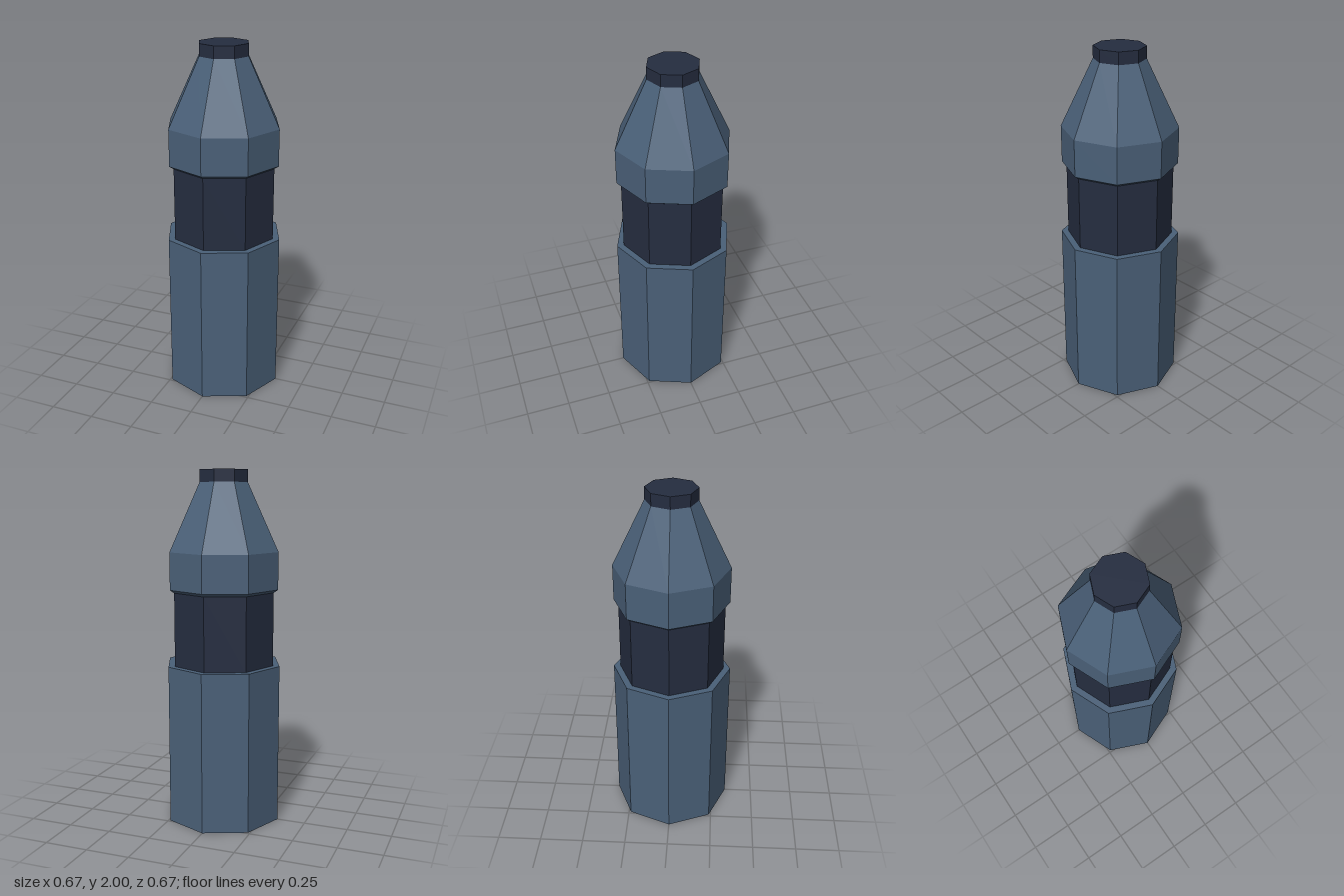
import * as THREE from 'three';

const SIDES = 8;
const blue = new THREE.MeshStandardMaterial({ color: 0x4a6078, flatShading: true });
const dark = new THREE.MeshStandardMaterial({ color: 0x252d40, flatShading: true });

// Eight-sided turned part from [radius, height] pairs, listed bottom to top
function turned(name, profile, material) {
  const points = profile.map(([r, y]) => new THREE.Vector2(r, y));
  const mesh = new THREE.Mesh(new THREE.LatheGeometry(points, SIDES), material);
  mesh.name = name;
  return mesh;
}

export function createModel() {
  const model = new THREE.Group();
  model.name = 'bottle';

  // Lower barrel with closed base and a narrow ledge at the top
  model.add(turned('barrel', [[0, 0], [0.337, 0], [0.337, 0.915], [0.298, 0.915]], blue));

  // Recessed dark band
  model.add(turned('gripBand', [[0.298, 0.915], [0.298, 1.33]], dark));

  // Shoulder: bevelled lip, straight collar, then taper
  model.add(turned('taperedCap', [[0.298, 1.33], [0.323, 1.347], [0.323, 1.555], [0.142, 1.932]], blue));

  // Short dark tip with closed top
  model.add(turned('tip', [[0.142, 1.932], [0.142, 2], [0, 2]], dark));

  return model;
}
